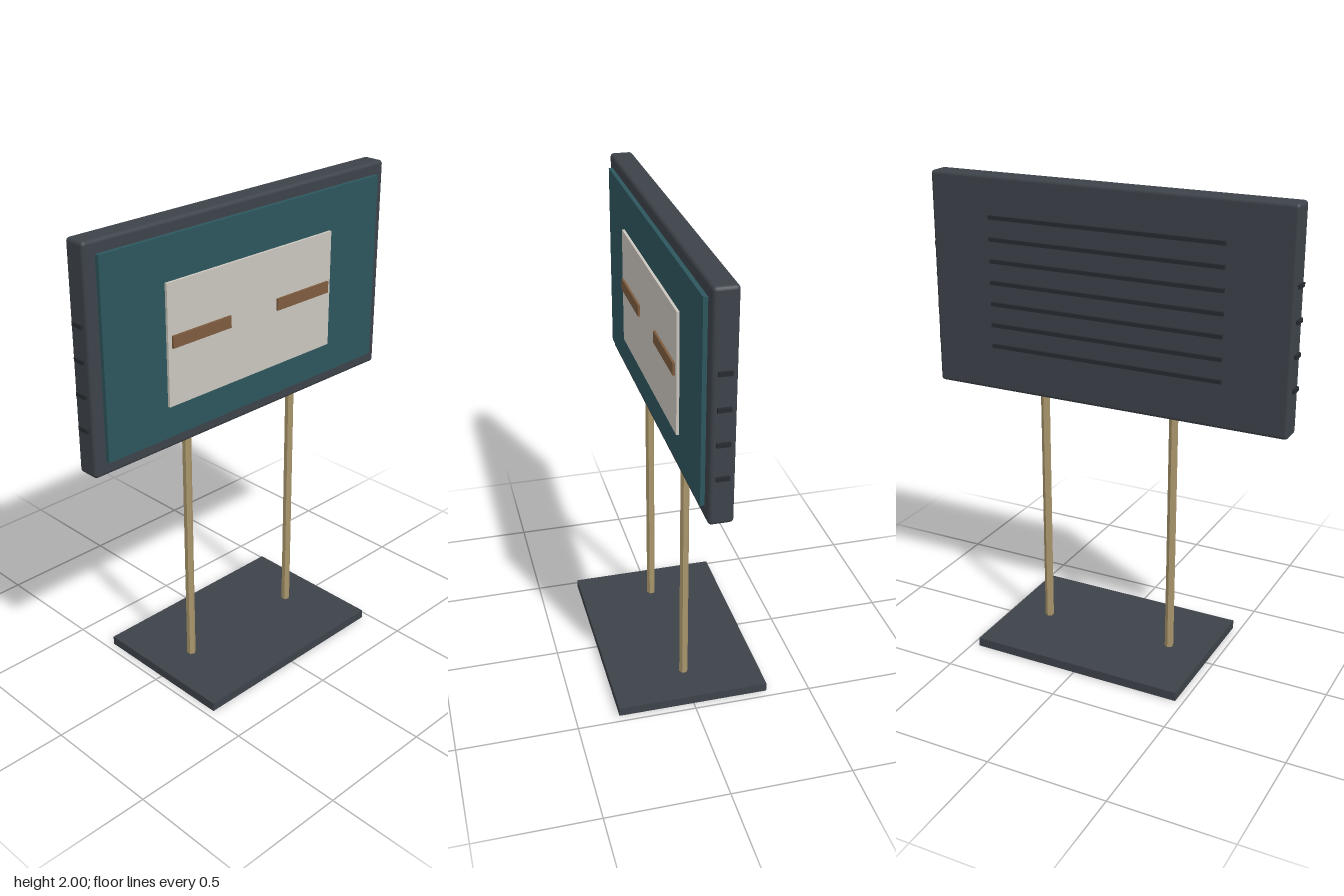
import * as THREE from 'three';
import { RoundedBoxGeometry } from 'three/addons/geometries/RoundedBoxGeometry.js';

function material(name, color) {
  const m = new THREE.MeshStandardMaterial({ color });
  m.name = name;
  return m;
}

export function createModel() {
  const group = new THREE.Group();
  const charcoal = material('charcoal', 0x3d434a);
  const black = material('dark vent', 0x272b30);
  const teal = material('teal', 0x2d565e);
  const cream = material('cream', 0xcac6be);
  const brown = material('brown', 0x7d5c3e);
  const brass = material('brass', 0xaa966c);

  const add = (name, geometry, mat, x, y, z) => {
    const mesh = new THREE.Mesh(geometry, mat);
    mesh.name = name;
    mesh.position.set(x, y, z);
    group.add(mesh);
    return mesh;
  };
  // Box given by its lower and upper bounds
  const box = (name, mat, x0, x1, y0, y1, z0, z1) =>
    add(name, new THREE.BoxGeometry(x1 - x0, y1 - y0, z1 - z0), mat,
      (x0 + x1) / 2, (y0 + y1) / 2, (z0 + z1) / 2);

  // Base plate and display housing
  box('base', charcoal, -0.467, 0.467, 0, 0.038, -0.32, 0.32);
  add('housing', new RoundedBoxGeometry(1.574, 0.904, 0.096, 2, 0.015), charcoal, 0, 1.548, 0);

  // Screen with a raised card
  box('screen', teal, -0.735, 0.735, 1.153, 1.949, 0.047, 0.065);
  box('card', cream, -0.443, 0.443, 1.285, 1.777, 0.065, 0.076);

  for (const s of [-1, 1]) {
    // Hexagonal posts
    const post = new THREE.CylinderGeometry(0.0185, 0.0185, 1.07, 6).toNonIndexed();
    post.computeVertexNormals();
    add('post', post, brass, s * 0.295, 0.573, 0);

    // Bars on the card
    const bar = new THREE.BoxGeometry(0.297, 0.049, 0.009);
    add('cardBar', bar, brown, s * 0.276, 1.546, 0.0805);

    // Side vents
    for (let i = 0; i < 4; i++) {
      add('sideVent', new THREE.BoxGeometry(0.024, 0.016, 0.052), black,
        s * 0.785, 1.288 + i * 0.135, 0);
    }
  }

  // Rear vent ribs
  for (let i = 0; i < 7; i++) {
    box('rearVent', black, -0.512, 0.512, 1.284 + i * 0.09, 1.3 + i * 0.09, -0.059, -0.04);
  }
  return group;
}
